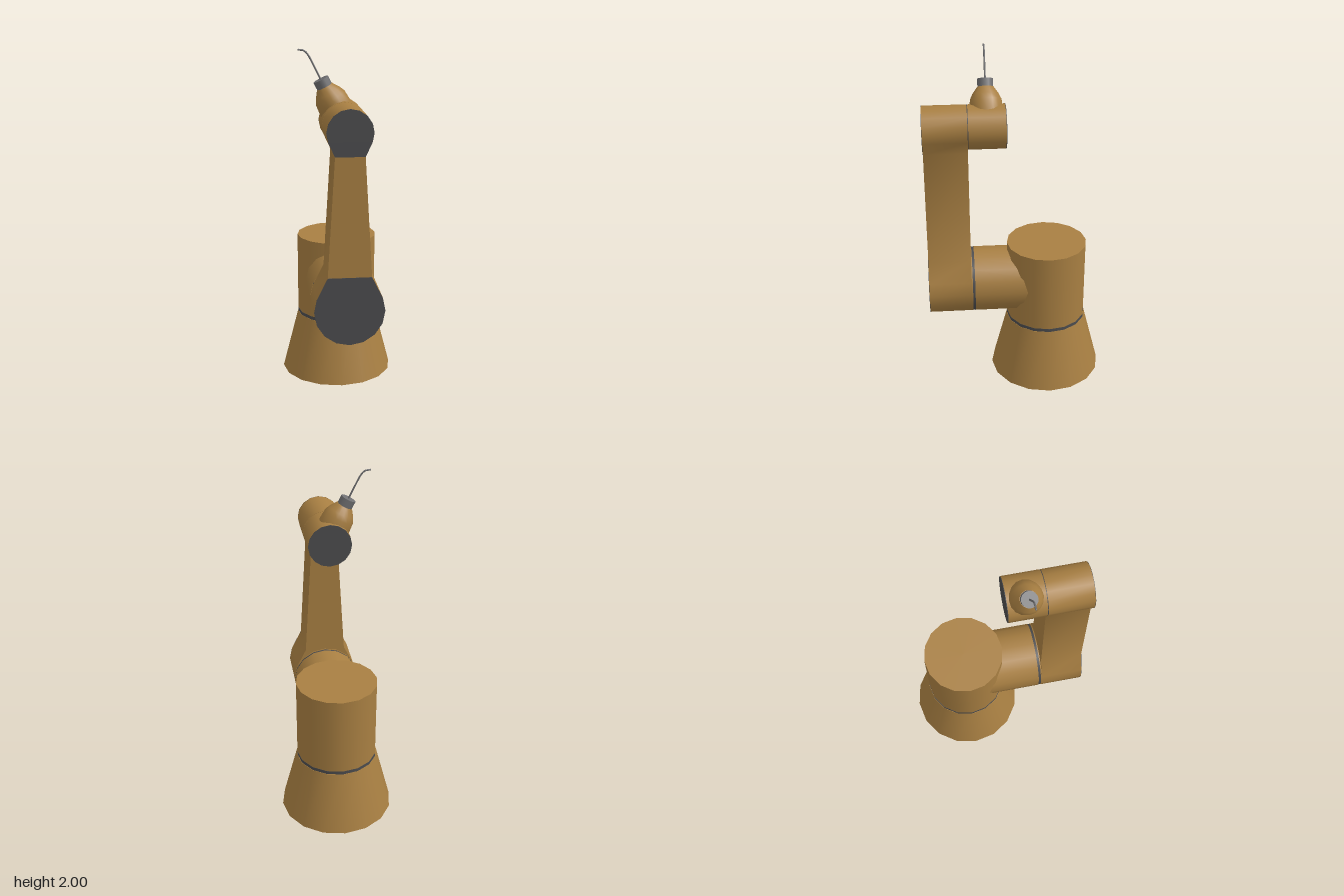
import * as THREE from 'three';
import { toCreasedNormals } from 'three/addons/utils/BufferGeometryUtils.js';

const gold = new THREE.MeshStandardMaterial({ color: 0xa87f42 });
const dark = new THREE.MeshStandardMaterial({ color: 0x4c4c4e });
const steel = new THREE.MeshStandardMaterial({ color: 0x707072 });

const BASE_Z = -0.185;
const LOW = { y: 0.62, r: 0.195, neckY: 0.815, neckX: 0.12 };
const HIGH = { y: 1.6, r: 0.125, neckY: 1.475, neckX: 0.08 };
const ARM_BACK = 0.27, ARM_FRONT = 0.518;

// Points on a joint circle, running counter-clockwise over 225 degrees
function arc(joint, startDeg) {
  return Array.from({ length: 11 }, (_, i) => {
    const a = THREE.MathUtils.degToRad(startDeg + i * 22.5);
    return new THREE.Vector2(joint.r * Math.cos(a), joint.y + joint.r * Math.sin(a));
  });
}

// The two neck corners of a joint, left then right
function neck(joint) {
  return [new THREE.Vector2(joint.neckX, joint.neckY), new THREE.Vector2(-joint.neckX, joint.neckY)];
}

export function createModel() {
  const model = new THREE.Group();
  model.name = 'robotArm';

  function add(name, geometry, material, parent = model) {
    const mesh = new THREE.Mesh(geometry, material);
    mesh.name = name;
    parent.add(mesh);
    return mesh;
  }

  // Upright 16-sided drum between two heights
  function drum(name, y0, y1, r0, r1, material) {
    const mesh = add(name, new THREE.CylinderGeometry(r1, r0, y1 - y0, 16), material);
    mesh.position.set(0, (y0 + y1) / 2, BASE_Z);
  }

  // Drum lying along z between two depths
  function axle(name, y, z0, z1, r, material) {
    const geometry = new THREE.CylinderGeometry(r, r, z1 - z0, 16).rotateX(Math.PI / 2);
    add(name, geometry, material).position.set(0, y, (z0 + z1) / 2);
  }

  // Base: flared foot, dark seam and turret
  drum('baseFoot', 0, 0.365, 0.334, 0.24, gold);
  drum('baseSeam', 0.365, 0.385, 0.238, 0.238, dark);
  drum('turret', 0.385, 0.86, 0.237, 0.237, gold);

  // Shoulder axle emerging from the turret
  axle('shoulder', LOW.y, -0.15, 0.25, LOW.r, gold);
  axle('shoulderSeam', LOW.y, 0.25, 0.264, LOW.r - 0.002, dark);
  axle('shoulderFlange', LOW.y, 0.264, ARM_BACK, LOW.r, gold);

  // Arm: one tapered outline joining the two rounded ends
  const lowArc = arc(LOW, 157.5), highArc = arc(HIGH, -22.5);
  const [lowLeft, lowRight] = neck(LOW), [highLeft, highRight] = neck(HIGH);
  const outline = new THREE.Shape([...lowArc, lowLeft, highLeft, ...highArc, highRight, lowRight]);
  const armGeometry = new THREE.ExtrudeGeometry(outline, {
    depth: ARM_FRONT - ARM_BACK, bevelEnabled: false,
  });
  add('arm', toCreasedNormals(armGeometry, 0.5), gold).position.z = ARM_BACK;

  // Dark covers on the front of both arm ends
  const covers = {
    shoulderCover: [...lowArc, lowLeft, lowRight],
    elbowCover: [...highArc, highRight, highLeft],
  };
  for (const [name, points] of Object.entries(covers)) {
    const geometry = new THREE.ExtrudeGeometry(new THREE.Shape(points), {
      depth: 0.002, bevelEnabled: false,
    });
    add(name, geometry, dark).position.z = ARM_FRONT;
  }

  // Elbow axle with a dark rear cap
  axle('elbow', HIGH.y, 0.057, 0.266, HIGH.r, gold);
  axle('elbowSeam', HIGH.y, 0.266, ARM_BACK, HIGH.r - 0.002, dark);
  axle('elbowRearCap', HIGH.y, 0.054, 0.057, HIGH.r, dark);

  // Wrist, tilted to the model's right out of the elbow
  const wrist = new THREE.Group();
  wrist.name = 'wrist';
  wrist.position.set(0, HIGH.y, 0.16);
  wrist.rotation.z = THREE.MathUtils.degToRad(27);
  model.add(wrist);

  const profile = [[0.093, 0], [0.093, 0.09], [0.088, 0.15], [0.074, 0.18], [0.046, 0.22], [0, 0.22]]
    .map(([r, y]) => new THREE.Vector2(r, y));
  add('wristHousing', toCreasedNormals(new THREE.LatheGeometry(profile, 16), 0.7), gold, wrist);
  add('toolCollar', new THREE.CylinderGeometry(0.044, 0.044, 0.05, 16), steel, wrist).position.y = 0.24;

  // Thin tool wire, bent over at its tip
  const wire = new THREE.CatmullRomCurve3([
    [-0.115, 1.825], [-0.155, 1.905], [-0.19, 1.97], [-0.21, 1.99], [-0.24, 1.995],
  ].map(([x, y]) => new THREE.Vector3(x, y, 0.16)));
  add('toolWire', new THREE.TubeGeometry(wire, 20, 0.005, 8), steel);
  const tip = add('toolWireTip', new THREE.SphereGeometry(0.005, 8, 6), steel);
  tip.position.set(-0.24, 1.995, 0.16);

  return model;
}
